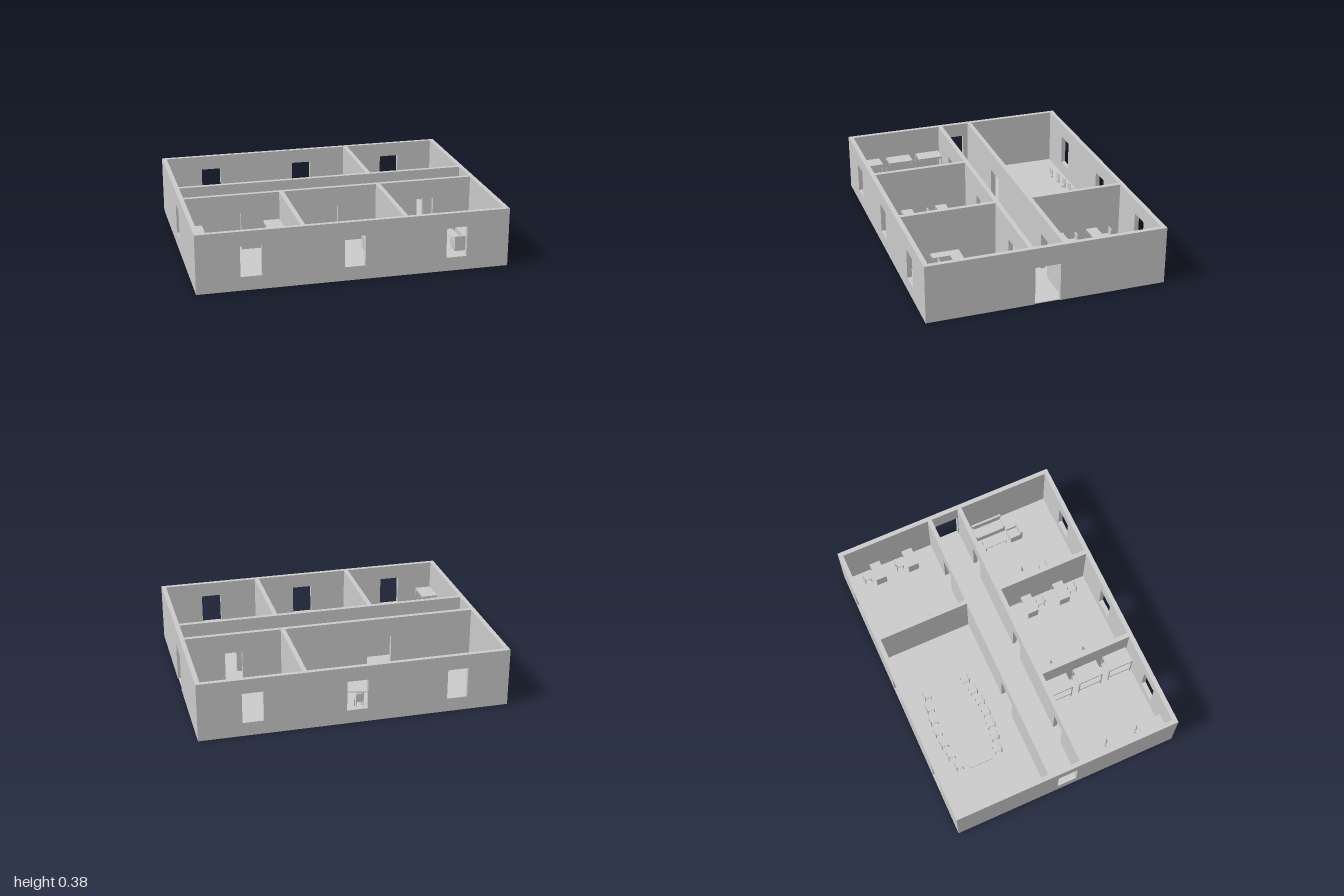
import * as THREE from 'three';

const material = new THREE.MeshStandardMaterial({ color: 0xcccccc });
const FLOOR = 0.005, HEIGHT = 0.385, T = 0.03;

export function createModel() {
  const model = new THREE.Group();
  model.name = 'officeFloor';

  const group = (name, x, z, turn = 0) => {
    const g = new THREE.Group();
    g.name = name;
    g.position.set(x, FLOOR, z);
    g.rotation.y = turn;
    model.add(g);
    return g;
  };

  // Box given by its bottom centre
  const box = (parent, name, w, h, d, x, y, z) => {
    const m = new THREE.Mesh(new THREE.BoxGeometry(w, h, d), material);
    m.name = name;
    m.position.set(x, y + h / 2, z);
    parent.add(m);
    return m;
  };

  // Four posts under a w x d rectangle
  const posts = (parent, name, w, d, h, t) => {
    for (const sx of [-1, 1]) for (const sz of [-1, 1])
      box(parent, name, t, h, t, sx * (w - t) / 2, 0, sz * (d - t) / 2);
  };

  // Wall along x or z; doors are notches in the outline, windows are holes
  const wall = (name, axis, from, to, side, doors = [], windows = []) => {
    const s = new THREE.Shape();
    s.moveTo(from, 0);
    for (const [c, w] of doors) {
      s.lineTo(c - w / 2, 0);
      s.lineTo(c - w / 2, 0.255);
      s.lineTo(c + w / 2, 0.255);
      s.lineTo(c + w / 2, 0);
    }
    s.lineTo(to, 0);
    s.lineTo(to, HEIGHT);
    s.lineTo(from, HEIGHT);
    s.closePath();
    for (const c of windows) {
      const a = c - 0.067, b = c + 0.067;
      s.holes.push(new THREE.Path([[a, 0.09], [a, 0.29], [b, 0.29], [b, 0.09]]
        .map(([x, y]) => new THREE.Vector2(x, y))));
    }
    const m = new THREE.Mesh(new THREE.ExtrudeGeometry(s, { depth: T, bevelEnabled: false }), material);
    m.name = name;
    if (axis === 'x') m.position.z = side;
    else {
      m.rotation.y = -Math.PI / 2;
      m.position.x = side + T;
    }
    model.add(m);
  };

  // Building shell
  const Z = 0.778, bays = [-0.658, -0.005, 0.655];
  box(model, 'floor', 1.99, FLOOR, 2 * Z - 0.01, 0, 0, 0);
  wall('frontWall', 'x', -1, 1, Z - T, [], bays);
  wall('backWall', 'x', -1, 1, -Z, [], bays);
  wall('leftWall', 'z', -Z + T, Z - T, 1 - T, [[0.002, 0.165]]);
  wall('rightWall', 'z', -Z + T, Z - T, -1, [], [0]);
  wall('corridorFrontWall', 'x', -1 + T, 1 - T, 0.09, bays.map(c => [c, 0.115]));
  wall('corridorBackWall', 'x', -1 + T, 1 - T, -0.13, [[-0.33, 0.165], [0.655, 0.115]]);
  wall('backPartition', 'z', -Z + T, -0.13, 0.31);
  for (const x of [-0.345, 0.31]) wall('frontPartition', 'z', 0.12, Z - T, x);

  // Chair with its backrest on -z
  const chair = (x, z, turn = 0) => {
    const g = group('chair', x, z, turn);
    posts(g, 'chairLeg', 0.05, 0.05, 0.05, 0.005);
    box(g, 'chairSeat', 0.05, 0.006, 0.05, 0, 0.05, 0);
    box(g, 'chairBack', 0.05, 0.05, 0.005, 0, 0.055, -0.0225);
  };

  // Desk with a top on end panels
  const desk = (x, z, w, d) => {
    const g = group('desk', x, z);
    box(g, 'deskTop', w, 0.006, d, 0, 0.083, 0);
    for (const s of [-1, 1]) box(g, 'deskPanel', 0.006, 0.083, d, s * (w / 2 - 0.003), 0, 0);
  };

  // Meeting room: barrel-shaped table with chairs following both curves
  const meetX = -0.328, meetZ = -0.457;
  const top = new THREE.Shape();
  top.moveTo(-0.327, -0.08);
  top.quadraticCurveTo(0, -0.195, 0.327, -0.08);
  top.lineTo(0.327, 0.08);
  top.quadraticCurveTo(0, 0.195, -0.327, 0.08);
  top.closePath();
  const table = group('meetingTable', meetX, meetZ);
  const slab = new THREE.Mesh(
    new THREE.ExtrudeGeometry(top, { depth: 0.008, bevelEnabled: false, curveSegments: 16 }), material);
  slab.name = 'meetingTableTop';
  slab.rotation.x = -Math.PI / 2;
  slab.position.y = 0.082;
  table.add(slab);
  for (const s of [-1, 1]) box(table, 'meetingTableLeg', 0.02, 0.082, 0.12, s * 0.22, 0, 0);
  for (let i = -3; i <= 3; i++) {
    const offset = 0.174 - 0.0038 * i * i;
    chair(meetX + i * 0.0885, meetZ - offset);
    chair(meetX + i * 0.0885, meetZ + offset, Math.PI);
  }

  // Back office
  for (const z of [-0.552, -0.312]) {
    for (const x of [0.405, 0.902]) {
      desk(x, z, 0.13, 0.075);
      chair(x, z - 0.085);
    }
  }

  // Front office
  for (const z of [0.302, 0.543]) {
    for (const x of [-0.248, 0.243]) {
      desk(x, z, 0.134, 0.075);
      chair(x, z + 0.085, Math.PI);
    }
  }

  // Manager's office: corner desk, sofa, armchair, coffee table
  desk(0.433, 0.408, 0.184, 0.075);
  desk(0.373, 0.503, 0.065, 0.115);
  chair(0.467, 0.515, Math.PI);

  const sofa = (name, x, z, w, turn) => {
    const g = group(name, x, z, turn), d = 0.085;
    box(g, name + 'Base', w - 0.02, 0.05, d, 0, 0, 0);
    box(g, name + 'Back', w, 0.1, 0.014, 0, 0, -d / 2 + 0.005);
    for (const s of [-1, 1]) box(g, name + 'Arm', 0.01, 0.072, d - 0.01, s * (w / 2 - 0.005), 0, 0.005);
  };
  sofa('sofa', 0.898, 0.285, 0.22, -Math.PI / 2);
  sofa('armchair', 0.792, 0.437, 0.085, Math.PI);

  const coffee = group('coffeeTable', 0.792, 0.285);
  box(coffee, 'coffeeTableTop', 0.066, 0.006, 0.16, 0, 0.044, 0);
  posts(coffee, 'coffeeTableLeg', 0.066, 0.16, 0.044, 0.006);

  // Bunk room
  for (const x of [-0.915, -0.4]) {
    for (const z of [0.212, 0.432, 0.652]) {
      const g = group('bunkBed', x, z);
      posts(g, 'bunkPost', 0.11, 0.17, 0.195, 0.007);
      for (const y of [0.05, 0.18]) box(g, 'bunkMattress', 0.11, 0.014, 0.17, 0, y, 0);
    }
  }

  return model;
}
